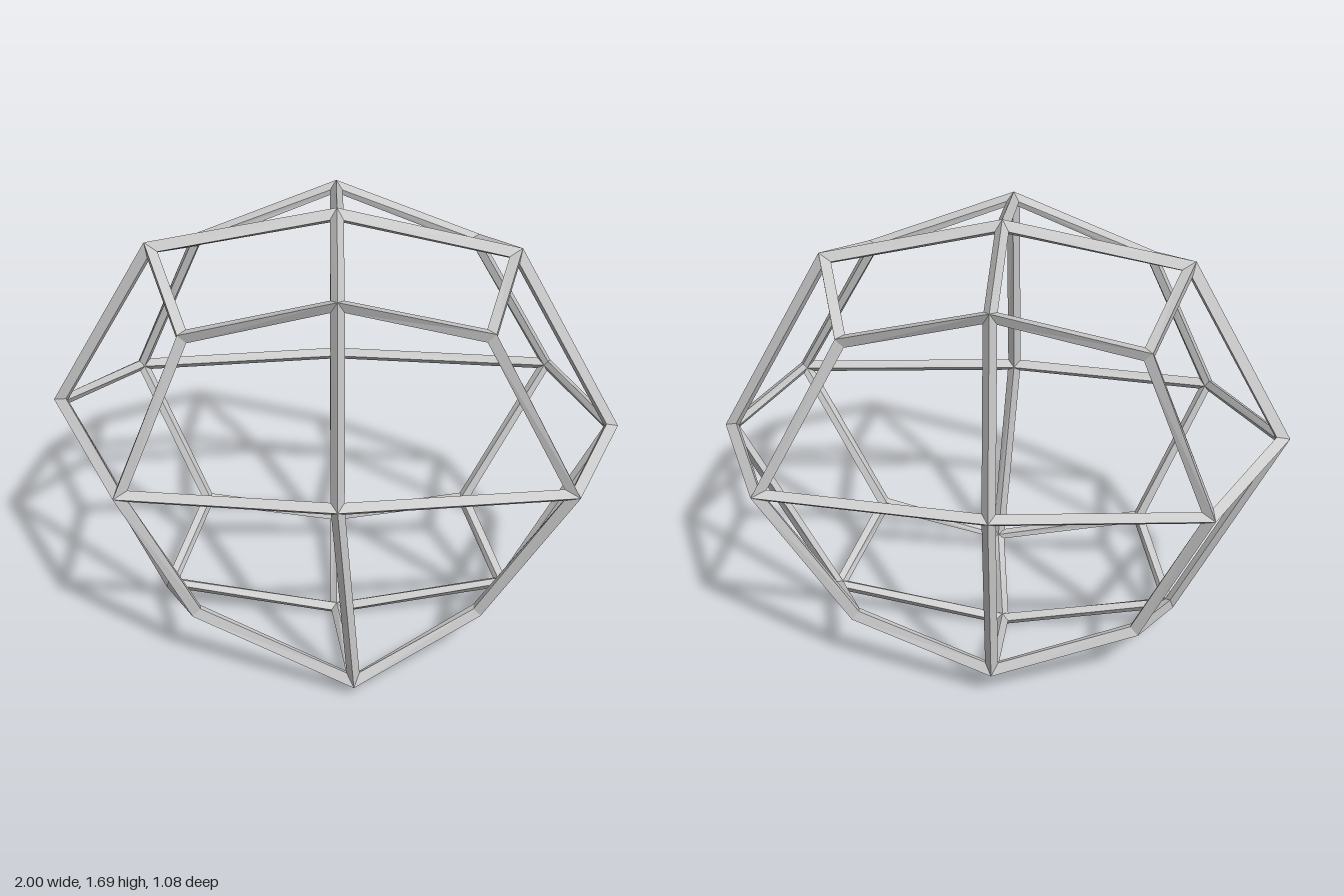
import * as THREE from 'three';

const V = (x, y, z) => new THREE.Vector3(x, y, z);
const MID = 0.847;    // height of the cage centre
const HALF = 0.0245;  // half depth of the diamond-section bars
const INSET = 0.0235; // half width of the bars

// Joint positions by kind: tips on the axes, ridge joints between two axes, corners
const SIZES = {
  '100': [0.975, 0, 0], '010': [0, 0.822, 0], '001': [0, 0, 0.514],
  '110': [0.624, 0.702, 0], '101': [0.73, 0, 0.436], '011': [0, 0.704, 0.436],
  '111': [0.498, 0.558, 0.346],
};

// Joints pulled out of the regular pattern
const MOVED = {
  '-1,0,0': V(-0.975, 0.927, -0.05),
  '1,0,0': V(0.975, 0.843, 0),
  '1,1,0': V(0.606, 1.525, 0),
  '1,0,1': V(0.796, MID, 0.436),
  '1,0,-1': V(0.796, MID, -0.436),
  '0,1,1': V(0.002, 1.571, 0.436),
  '0,1,-1': V(0.002, 1.571, -0.436),
  '0,-1,1': V(0.06, 0.071, 0.475),
};

function jointPosition(s) {
  if (MOVED[s.join()]) return MOVED[s.join()].clone();
  const d = SIZES[s.map(Math.abs).join('')];
  return V(s[0] ? s[0] * d[0] : 0.002, MID + s[1] * d[1], s[2] * d[2]);
}

// Four-sided panels: each corner joint meets three of them
function buildPanels() {
  const joints = {}, panels = [];
  const joint = (s) => (joints[s.join()] ??= { p: jointPosition(s), n: V(0, 0, 0) });
  for (const x of [-1, 1]) for (const y of [-1, 1]) for (const z of [-1, 1]) {
    const s = [x, y, z];
    for (let a = 0; a < 3; a++) {
      const b = (a + 1) % 3, c = (a + 2) % 3;
      const keep = (...axes) => s.map((v, i) => (axes.includes(i) ? v : 0));
      const loop = [joint(s), joint(keep(a, b)), joint(keep(a)), joint(keep(a, c))];
      const normal = loop[2].p.clone().sub(loop[0].p)
        .cross(loop[3].p.clone().sub(loop[1].p)).normalize();
      // keep every panel facing outwards
      if (normal.dot(loop[0].p.clone().sub(V(0, MID, 0))) < 0) {
        loop.reverse();
        normal.negate();
      }
      loop.forEach((j) => j.n.add(normal));
      panels.push(loop);
    }
  }
  Object.values(joints).forEach((j) => j.n.normalize());
  return panels;
}

// Each panel edge gives half of a bar: one outer and one inner sloping side
function frameGeometry() {
  const pos = [];
  const quad = (a, b, c, d) => [a, b, c, a, c, d].forEach((v) => pos.push(v.x, v.y, v.z));
  for (const loop of buildPanels()) {
    const inset = loop.map((j, i) => {
      const next = loop[(i + 1) % 4].p.clone().sub(j.p).normalize();
      const prev = loop[(i + 3) % 4].p.clone().sub(j.p).normalize();
      const sine = next.clone().cross(prev).length();
      return next.add(prev).multiplyScalar(INSET / sine).add(j.p);
    });
    const outer = loop.map((j) => j.p.clone().addScaledVector(j.n, HALF));
    const inner = loop.map((j) => j.p.clone().addScaledVector(j.n, -HALF));
    for (let i = 0; i < 4; i++) {
      const k = (i + 1) % 4;
      quad(outer[i], outer[k], inset[k], inset[i]);
      quad(inner[i], inset[i], inset[k], inner[k]);
    }
  }
  const geo = new THREE.BufferGeometry();
  geo.setAttribute('position', new THREE.Float32BufferAttribute(pos, 3));
  geo.computeVertexNormals();
  return geo;
}

export function createModel() {
  const group = new THREE.Group();
  group.name = 'openCage';
  const frame = new THREE.Mesh(
    frameGeometry(),
    new THREE.MeshStandardMaterial({ color: 0xcccccc, flatShading: true }),
  );
  frame.name = 'cageFrame';
  group.add(frame);
  return group;
}
